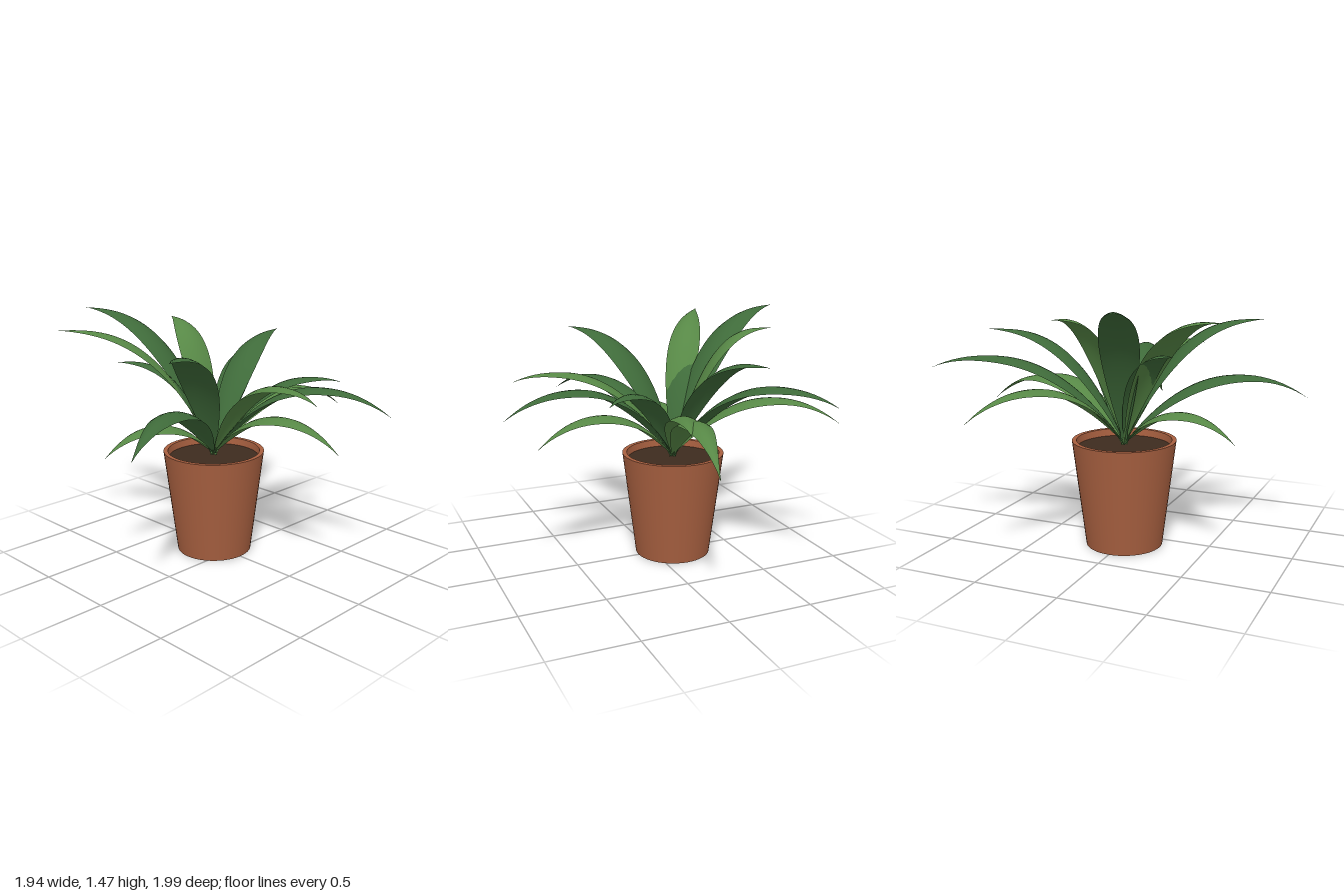
import * as THREE from 'three';

const CENTRE_X = -0.13;
const LEAF_BASE = 0.62;

const potMaterial = new THREE.MeshStandardMaterial({ color: 0xa86040 });
const soilMaterial = new THREE.MeshStandardMaterial({ color: 0x3d2b1f });
const darkLeaf = new THREE.MeshStandardMaterial({ color: 0x3f6b3a, side: THREE.DoubleSide });
const lightLeaf = new THREE.MeshStandardMaterial({ color: 0x578846, side: THREE.DoubleSide });

// Each leaf: tip x, tip y, tip z, height of the arch, half width, material
const LEAVES = [
  [-0.97, 1.47, 0.30, 1.47, 0.11, darkLeaf],
  [-0.64, 1.41, 0.75, 1.41, 0.10, lightLeaf],
  [-0.69, 1.39, -0.17, 1.395, 0.095, lightLeaf],
  [0.29, 1.34, 0.72, 1.345, 0.11, darkLeaf],
  [-0.32, 1.28, -0.79, 1.285, 0.10, darkLeaf],
  [-0.49, 1.20, 0.44, 1.205, 0.09, darkLeaf],
  [0.81, 1.10, 0.18, 1.165, 0.09, lightLeaf],
  [-0.62, 1.07, -0.99, 1.15, 0.105, darkLeaf],
  [0.46, 1.07, -0.49, 1.11, 0.09, darkLeaf],
  [0.97, 0.99, -0.26, 1.12, 0.09, darkLeaf],
  [0.08, 0.92, -0.69, 0.98, 0.085, lightLeaf],
  [0.30, 0.88, 0.99, 1.03, 0.10, darkLeaf],
  [-0.96, 0.85, -0.55, 1.005, 0.09, lightLeaf],
  [0.07, 0.78, -1.00, 0.97, 0.088, lightLeaf],
  [0.75, 0.77, -0.10, 0.93, 0.088, lightLeaf],
  [-0.28, 0.71, 0.72, 0.855, 0.088, lightLeaf],
];

// A strip bent along an arch, widest before the middle, pointed at the tip,
// with its long edges curling down from the midrib
function leafGeometry([tipX, tipY, tipZ, top, halfWidth]) {
  const dx = tipX - CENTRE_X;
  const reach = Math.hypot(dx, tipZ);
  const sideX = -tipZ / reach;
  const sideZ = dx / reach;
  const rise = top - LEAF_BASE;
  const apex = 1 / (1 + Math.sqrt((top - tipY) / rise));
  const bend = 2 + 0.85 * apex ** 4; // upright leaves level out sooner

  const geometry = new THREE.PlaneGeometry(2, 1, 6, 28);
  const p = geometry.attributes.position;
  for (let i = 0; i < p.count; i++) {
    const u = p.getX(i);
    const t = p.getY(i) + 0.5;
    const swell = Math.max(0, Math.sin(Math.PI * t ** 0.78));
    const width = Math.max(0.001, halfWidth * swell ** 1.12, 0.02 * (1 - t * 4));
    p.setXYZ(
      i,
      dx * t + sideX * u * width,
      top - rise * Math.abs(1 - t / apex) ** bend - 0.38 * width * u * u,
      tipZ * t + sideZ * u * width
    );
  }
  geometry.computeVertexNormals();
  return geometry;
}

// Closed tapered wall with a flat rim; corners are doubled to keep them sharp
function potGeometry() {
  const profile = [
    [0, 0], [0.23, 0], [0.23, 0], [0.31, 0.643], [0.31, 0.643],
    [0.283, 0.643], [0.283, 0.643], [0.273, 0.56],
  ].map(([r, y]) => new THREE.Vector2(r, y));
  return new THREE.LatheGeometry(profile, 48);
}

export function createModel() {
  const model = new THREE.Group();
  model.name = 'pottedPlant';

  const plant = new THREE.Group();
  plant.name = 'plant';
  plant.position.x = CENTRE_X;
  model.add(plant);

  const pot = new THREE.Mesh(potGeometry(), potMaterial);
  pot.name = 'pot';
  plant.add(pot);

  const soil = new THREE.Mesh(new THREE.CircleGeometry(0.278, 48), soilMaterial);
  soil.name = 'soil';
  soil.rotation.x = -Math.PI / 2;
  soil.position.y = 0.6;
  plant.add(soil);

  // Rosette of arching leaves
  const leaves = new THREE.Group();
  leaves.name = 'leaves';
  LEAVES.forEach((spec, i) => {
    const leaf = new THREE.Mesh(leafGeometry(spec), spec[5]);
    leaf.name = `leaf${i + 1}`;
    leaves.add(leaf);
  });
  plant.add(leaves);

  return model;
}
